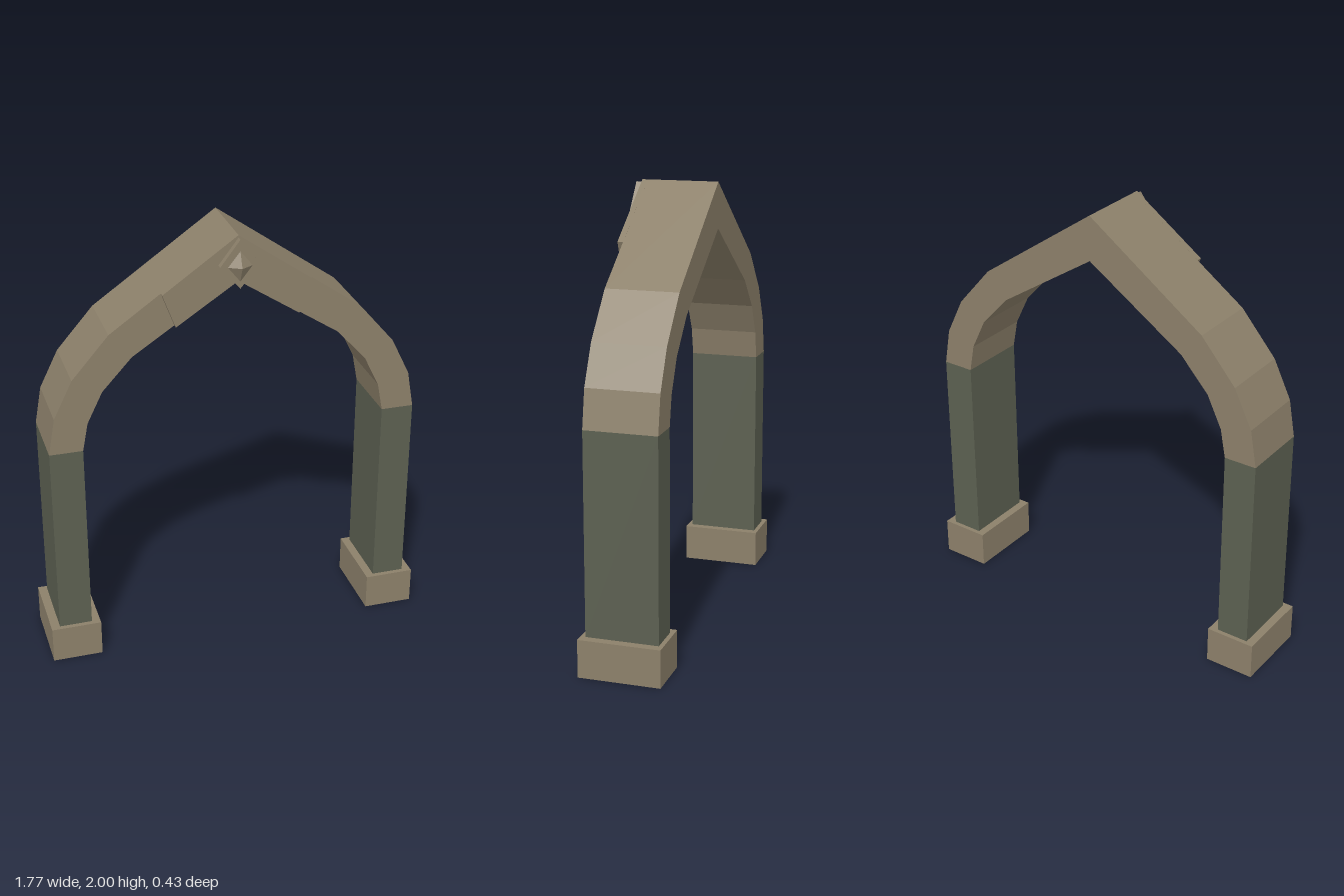
import * as THREE from 'three';

const stone = new THREE.MeshStandardMaterial({ color: 0x8c806a });
stone.name = 'tan stone';
const slate = new THREE.MeshStandardMaterial({ color: 0x5c6051 });
slate.name = 'green grey stone';

// Extrude a front outline between two depths
function slab(name, points, z0, z1, material) {
  const shape = new THREE.Shape(points.map(([x, y]) => new THREE.Vector2(x, y)));
  const geometry = new THREE.ExtrudeGeometry(shape, { depth: z1 - z0, bevelEnabled: false });
  geometry.translate(0, 0, z0);
  const mesh = new THREE.Mesh(geometry, material);
  mesh.name = name;
  return mesh;
}

function box(name, x0, x1, y0, y1, z0, z1, material) {
  const mesh = new THREE.Mesh(new THREE.BoxGeometry(x1 - x0, y1 - y0, z1 - z0), material);
  mesh.position.set((x0 + x1) / 2, (y0 + y1) / 2, (z0 + z1) / 2);
  mesh.name = name;
  return mesh;
}

// Complete a half outline (left side up to the apex) across x = 0
const mirror = (half) => [...half, ...half.slice(0, -1).reverse().map(([x, y]) => [-x, y])];
const band = (outer, inner) => [...mirror(outer), ...mirror(inner).reverse()];

export function createModel() {
  const model = new THREE.Group();
  model.name = 'archway';
  const back = -0.195, front = 0.13;

  // Pointed arch
  const outer = [[0.845, 1.07], [0.815, 1.24], [0.73, 1.413], [0.563, 1.605], [0, 2]];
  const inner = [[0.695, 1.07], [0.67, 1.2], [0.6, 1.343], [0.465, 1.49], [0, 1.795]];
  model.add(slab('arch', band(outer, inner), back, front, stone));

  // Raised panel at the crown
  const crown = band([[0.333, 1.767], [0, 2]], [[0.276, 1.614], [0, 1.795]]);
  model.add(slab('crownPanel', crown, front, 0.155, stone));

  // Diamond plate with a pointed stud
  const diamond = [[0.088, 1.875], [0, 1.99], [-0.088, 1.875], [0, 1.77]];
  model.add(slab('diamondPlate', diamond, 0.155, 0.183, stone));
  const studGeometry = new THREE.ConeGeometry(1, 0.03, 4, 1).toNonIndexed();
  studGeometry.rotateX(Math.PI / 2);
  studGeometry.scale(0.054, 0.068, 1);
  studGeometry.computeVertexNormals();
  const stud = new THREE.Mesh(studGeometry, stone);
  stud.position.set(0, 1.871, 0.198);
  stud.name = 'diamondStud';
  model.add(stud);

  // Columns and their plinths
  for (const [side, s] of [['left', 1], ['right', -1]]) {
    const [c0, c1] = [0.695 * s, 0.845 * s].sort((a, b) => a - b);
    const [p0, p1] = [0.656 * s, 0.885 * s].sort((a, b) => a - b);
    model.add(box(side + 'Column', c0, c1, 0.17, 1.07, back, front, slate));
    model.add(box(side + 'Plinth', p0, p1, 0, 0.17, -0.215, 0.152, stone));
  }
  return model;
}
